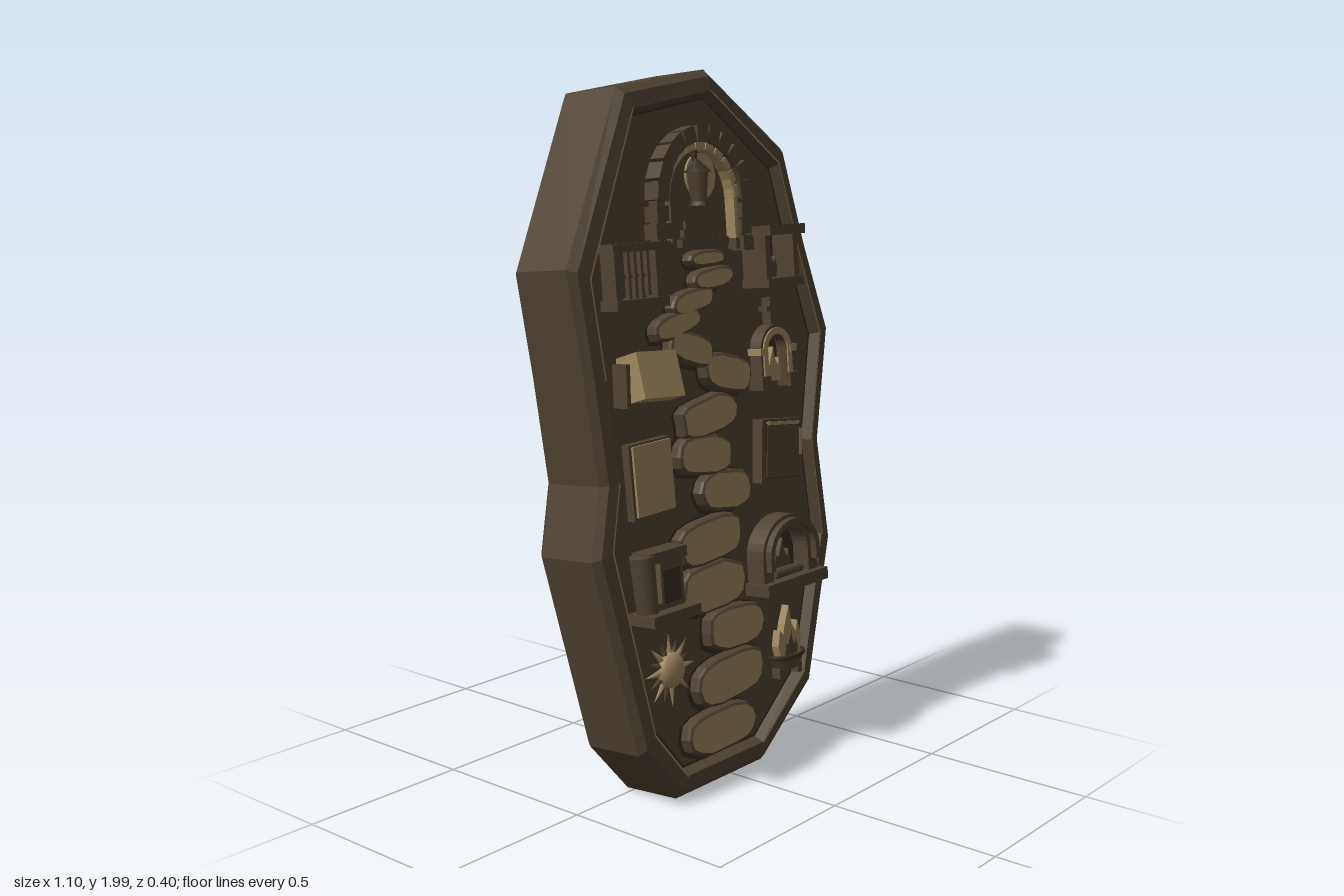
import * as THREE from 'three';

const mat = (name, color) => {
  const m = new THREE.MeshStandardMaterial({ color, side: THREE.DoubleSide });
  m.name = name;
  return m;
};

// Slab outline, counter-clockwise, y measured from the middle
const OUTLINE = [
  [0.04, 0.995], [-0.32, 0.94], [-0.55, 0.48], [-0.515, 0.2], [-0.487, -0.085], [-0.535, -0.275],
  [-0.407, -0.83], [-0.27, -0.99], [0.11, -0.99], [0.355, -0.82], [0.497, -0.4],
  [0.465, -0.09], [0.545, 0.245], [0.45, 0.51], [0.37, 0.78],
];
const FLOOR = 0.07, RIM = 0.1, BACK = -0.12;

const inset = (d) => OUTLINE.map(([x, y]) => [x * (1 - d / 0.53), y * (1 - d)]);
const toShape = (pts) => new THREE.Shape(pts.map(([x, y]) => new THREE.Vector2(x, y)));

// Flat-faced strips joining successive rings {d: inset, z}
function bands(rings, keep = () => true) {
  const pos = [], n = OUTLINE.length;
  for (let k = 0; k + 1 < rings.length; k++) {
    const [a, b] = [rings[k], rings[k + 1]].map(r => inset(r.d).map(p => [...p, r.z]));
    for (let i = 0; i < n; i++) {
      if (!keep(i)) continue;
      const j = (i + 1) % n;
      pos.push(...a[i], ...a[j], ...b[j], ...a[i], ...b[j], ...b[i]);
    }
  }
  const g = new THREE.BufferGeometry();
  g.setAttribute('position', new THREE.Float32BufferAttribute(pos, 3));
  g.computeVertexNormals();
  return g;
}

export function createModel() {
  const brown = mat('brown stone', 0x4f4231);
  const dark = mat('dark crevice', 0x352b1f);
  const tan = mat('worn tan', 0x9c855c);

  let seed = 7;
  const rnd = () => (seed = (seed * 16807) % 2147483647) / 2147483647;

  const model = new THREE.Group();
  model.name = 'carvedPathTablet';
  const slab = new THREE.Group();
  slab.name = 'leaningSlab';
  slab.position.y = 1;
  slab.rotation.x = -0.082;
  model.add(slab);

  // y is given as height above the ground
  const add = (name, geo, m, x, y, z, rz = 0, parent = slab) => {
    const mesh = new THREE.Mesh(geo, m);
    mesh.name = name;
    mesh.position.set(x, parent === slab ? y - 1 : y, z);
    mesh.rotation.z = rz;
    parent.add(mesh);
    return mesh;
  };
  // Box standing on the floor of the panel, reaching forward to zTop
  const block = (name, m, x, y, w, h, zTop, rz = 0) =>
    add(name, new THREE.BoxGeometry(w, h, zTop - FLOOR + 0.01), m, x, y, (zTop + FLOOR - 0.01) / 2, rz);
  const extrude = (pts, depth) =>
    new THREE.ExtrudeGeometry(toShape(pts), { depth, bevelEnabled: false });
  // Arch with straight legs; base is its bottom, spring where the curve begins
  const arch = (name, m, x, base, spring, rIn, rOut, zTop, flat = 1) => {
    const s = new THREE.Shape(), leg = base - spring;
    s.moveTo(rOut, leg);
    for (let i = 0; i <= 16; i++) s.lineTo(rOut * Math.cos(i * Math.PI / 16), rOut * flat * Math.sin(i * Math.PI / 16));
    s.lineTo(-rOut, leg);
    s.lineTo(-rIn, leg);
    for (let i = 16; i >= 0; i--) s.lineTo(rIn * Math.cos(i * Math.PI / 16), rIn * flat * Math.sin(i * Math.PI / 16));
    s.lineTo(rIn, leg);
    const g = new THREE.ExtrudeGeometry(s, { depth: zTop - FLOOR + 0.01, bevelEnabled: false });
    return add(name, g, m, x, spring, FLOOR - 0.01);
  };

  // Hollow slab: side wall, raised rim and sunken panel
  add('slabWall', bands([{ d: 0.012, z: BACK }, { d: 0, z: BACK + 0.015 }, { d: 0, z: 0.075 },
    { d: 0.02, z: RIM - 0.005 }, { d: 0.06, z: RIM }, { d: 0.075, z: FLOOR }]), brown, 0, 1, 0);
  add('sunkenPanel', new THREE.ShapeGeometry(toShape(inset(0.075))), brown, 0, 1, FLOOR);
  add('rimCrevice', bands([{ d: 0.075, z: FLOOR + 0.002 }, { d: 0.082, z: FLOOR + 0.002 }]), dark, 0, 1, 0);
  add('rimWear', bands([{ d: 0.056, z: RIM + 0.001 }, { d: 0.061, z: RIM + 0.001 }],
    i => ![0, 3, 7, 9].includes(i)), tan, 0, 1, 0);
  add('backEdgeWear', bands([{ d: 0.016, z: BACK - 0.002 }, { d: 0.004, z: BACK + 0.008 }],
    i => i >= 9 && i <= 13), tan, 0, 1, 0);

  // Back wall with a torn opening
  const back = toShape(inset(0.012)), tear = [];
  for (let i = 0; i <= 18; i++) tear.push([-0.27 + (i % 2 ? 0.08 : -0.05) * (0.5 + rnd()), 0.42 - i * 0.045]);
  for (let i = 1; i < 6; i++) tear.push([-0.27 + i * 0.09, -0.36 + (i % 2 ? 0.06 : 0)]);
  for (let i = 18; i >= 0; i--) tear.push([0.22 + (i % 2 ? -0.08 : 0.05) * (0.5 + rnd()), 0.45 - i * 0.045]);
  back.holes.push(new THREE.Path(tear.map(([x, y]) => new THREE.Vector2(x, y))));
  add('tornBackWall', new THREE.ShapeGeometry(back).rotateY(Math.PI).scale(-1, 1, 1), brown, 0, 1, BACK);

  // Winding path: x, y, half width, half height, turn
  [[-0.07, 0.16, 0.15, 0.065, -0.03], [-0.02, 0.3, 0.15, 0.07, 0.06], [0.02, 0.435, 0.125, 0.065, -0.05],
    [-0.07, 0.57, 0.14, 0.072, 0], [-0.07, 0.7, 0.14, 0.065, 0.08], [0.01, 0.83, 0.11, 0.06, -0.06],
    [-0.07, 0.94, 0.118, 0.058, -0.08], [-0.04, 1.05, 0.125, 0.055, 0.12], [0.05, 1.155, 0.105, 0.055, -0.25],
    [-0.1, 1.235, 0.095, 0.045, -0.3], [-0.15, 1.312, 0.1, 0.036, 0.2], [-0.08, 1.37, 0.09, 0.034, 0.15],
    [0.01, 1.425, 0.09, 0.032, 0.08], [-0.01, 1.48, 0.075, 0.025, 0.03],
  ].forEach(([x, y, w, h, turn]) => {
    const pts = [];
    for (let i = 0; i < 14; i++) {
      const t = i / 14 * Math.PI * 2, c = Math.cos(t), s = Math.sin(t), r = 0.94 + rnd() * 0.1;
      pts.push([w * r * Math.sign(c) * Math.abs(c) ** 0.7 - 0.012, h * r * Math.sign(s) * Math.abs(s) ** 0.7]);
    }
    const g = new THREE.ExtrudeGeometry(toShape(pts), {
      depth: 0.045, bevelThickness: 0.012, bevelSize: 0.01, bevelOffset: -0.01, bevelSegments: 2 });
    add('pathStone', g, [tan, brown], x, y, 0.05, turn);
    add('pathStoneGap', new THREE.ShapeGeometry(toShape(pts)), dark, x, y - 0.004, FLOOR + 0.003, turn).scale.set(1.08, 1.13, 1);
  });

  // Gateway: brick arch, worn inner lining, moon, lantern and steps
  const gx = -0.03, spring = 1.64;
  arch('gatewayArch', brown, gx, 1.5, spring, 0.14, 0.185, 0.1);
  arch('gatewayLining', tan, gx, 1.53, spring, 0.136, 0.152, 0.103);
  for (let i = 0; i < 11; i++) {
    const a = (i + 0.5) / 11 * Math.PI;
    block('archBrick', brown, gx + 0.178 * Math.cos(a), spring + 0.178 * Math.sin(a), 0.045, 0.047, 0.115 + rnd() * 0.008, a);
    block('archWear', tan, gx + 0.148 * Math.cos(a), spring + 0.148 * Math.sin(a), 0.02, 0.034, 0.106, a);
  }
  for (const s of [-1, 1]) for (let i = 0; i < 3; i++)
    block('gatewayPillarBrick', brown, gx + s * 0.18, 1.515 + i * 0.046, 0.048 + (i % 2) * 0.012, 0.042, 0.115);
  add('moon', new THREE.CylinderGeometry(0.063, 0.063, 0.008, 24).rotateX(Math.PI / 2), tan, 0, 1.705, FLOOR + 0.003);
  add('lanternGlass', new THREE.CylinderGeometry(0.032, 0.022, 0.085, 6), brown, gx, 1.675, 0.09);
  add('lanternRoof', new THREE.ConeGeometry(0.042, 0.04, 6), dark, gx, 1.735, 0.09);
  add('lanternBase', new THREE.CylinderGeometry(0.024, 0.03, 0.012, 6), dark, gx, 1.63, 0.09);
  block('lanternChain', dark, gx, 1.765, 0.008, 0.04, 0.09);
  for (let i = 0; i < 3; i++) block('gatewayStep', brown, gx + 0.02, 1.525 + i * 0.025, 0.2 - i * 0.03, 0.022, 0.09 - i * 0.005);

  // Barred window, upper left
  block('windowRecess', dark, -0.325, 1.45, 0.15, 0.13, 0.078);
  for (const s of [-1, 1]) block('windowPost', brown, -0.325 + s * 0.08, 1.45, 0.025, 0.15, 0.12);
  block('windowSill', brown, -0.325, 1.378, 0.205, 0.026, 0.13);
  block('windowLintel', brown, -0.325, 1.525, 0.2, 0.022, 0.125);
  for (let i = 0; i < 5; i++) block('windowBar', brown, -0.375 + i * 0.025, 1.46, 0.01, 0.15 - Math.abs(i - 2) * 0.012, 0.108);
  block('windowCrossBar', brown, -0.325, 1.45, 0.14, 0.01, 0.1);

  // Rough crate and plain tablet below it
  const crate = block('stoneCrate', tan, -0.31, 1.18, 0.155, 0.125, 0.16, -0.06);
  crate.rotation.x = -0.25;
  block('crateShade', brown, -0.32, 1.165, 0.165, 0.115, 0.12, -0.04);
  block('tabletBack', brown, -0.3, 0.91, 0.165, 0.205, 0.095, 0.03);
  block('tabletFace', tan, -0.298, 0.912, 0.15, 0.19, 0.102, 0.03);

  // Old chest with a turned post
  block('chestBody', brown, -0.3, 0.62, 0.13, 0.15, 0.125);
  block('chestLid', brown, -0.3, 0.705, 0.15, 0.03, 0.135);
  block('chestFoot', brown, -0.31, 0.545, 0.19, 0.03, 0.165);
  add('chestPost', new THREE.CylinderGeometry(0.035, 0.03, 0.16, 12), brown, -0.375, 0.635, 0.11, 0.06);
  block('chestWear', tan, -0.342, 0.64, 0.022, 0.12, 0.13);
  block('chestOpening', dark, -0.285, 0.62, 0.07, 0.09, 0.128);

  // Sun with rays
  add('sunDisc', new THREE.SphereGeometry(0.05, 20, 12).scale(1, 1, 0.5), tan, -0.265, 0.375, 0.085);
  for (let i = 0; i < 16; i++) {
    const a = i / 16 * Math.PI * 2, len = i % 2 ? 0.04 : 0.055;
    add('sunRay', new THREE.ConeGeometry(0.01, len, 4), i % 2 ? brown : tan,
      -0.265 + Math.cos(a) * (0.05 + len / 2), 0.375 + Math.sin(a) * (0.05 + len / 2), 0.082, a - Math.PI / 2);
  }

  // Flame outline shared by the fires
  const flame = (name, x, y, s, z, m = tan) => add(name, extrude([[-0.045, 0], [0.045, 0], [0.06, 0.05], [0.045, 0.11],
    [0.035, 0.075], [0.015, 0.105], [0.005, 0.165], [-0.02, 0.11], [-0.03, 0.08], [-0.045, 0.095], [-0.058, 0.045]]
    .map(p => [p[0] * s, p[1] * s]), 0.025), m, x, y, z);

  // Boxed niche, upper right
  block('nicheBack', dark, 0.247, 1.47, 0.13, 0.14, 0.08);
  for (const s of [-1, 1]) block('nicheWall', brown, 0.247 + s * 0.065, 1.47, 0.022, 0.15, 0.155);
  block('nicheRoof', brown, 0.247, 1.545, 0.165, 0.028, 0.18);
  block('nicheBase', brown, 0.247, 1.397, 0.165, 0.025, 0.165);
  flame('nicheFlame', 0.247, 1.41, 0.55, 0.085, brown);

  // Small shrine with a cross
  arch('shrineArch', brown, 0.255, 1.11, 1.2, 0.045, 0.075, 0.11);
  arch('shrineWear', tan, 0.255, 1.13, 1.2, 0.047, 0.066, 0.115);
  block('shrineBack', dark, 0.255, 1.17, 0.09, 0.12, 0.074);
  for (const s of [-1, 1]) {
    block('shrineFoot', brown, 0.255 + s * 0.066, 1.11, 0.04, 0.04, 0.12);
    block('shrineCapital', tan, 0.255 + s * 0.07, 1.2, 0.03, 0.02, 0.118);
  }
  block('shrineCrossPost', brown, 0.255, 1.31, 0.014, 0.085, 0.1);
  block('shrineCrossArm', brown, 0.255, 1.32, 0.045, 0.014, 0.1);
  flame('shrineFlame', 0.255, 1.11, 0.6, 0.07);

  // Framed plaque
  block('plaque', brown, 0.26, 0.905, 0.19, 0.185, 0.105, -0.1);
  block('plaqueInset', dark, 0.26, 0.905, 0.165, 0.16, 0.108, -0.1);
  block('plaqueFace', brown, 0.26, 0.903, 0.155, 0.15, 0.111, -0.1);
  block('plaqueTopWear', tan, 0.268, 0.985, 0.15, 0.01, 0.112, -0.1);
  block('plaqueSideWear', tan, 0.345, 0.92, 0.01, 0.08, 0.112, -0.1);

  // Hearth with a low arch
  arch('hearthArch', brown, 0.24, 0.53, 0.61, 0.085, 0.13, 0.13, 0.85);
  arch('hearthHood', brown, 0.24, 0.57, 0.61, 0.1, 0.118, 0.15, 0.85);
  block('hearthBack', dark, 0.24, 0.61, 0.17, 0.13, 0.075);
  block('hearthSlab', brown, 0.24, 0.52, 0.29, 0.035, 0.155);
  flame('hearthFlame', 0.24, 0.54, 0.65, 0.075, brown);
  add('hearthLog', new THREE.CylinderGeometry(0.016, 0.016, 0.13, 8).rotateZ(Math.PI / 2), brown, 0.24, 0.55, 0.11);

  // Fire bowl
  flame('bowlFlame', 0.25, 0.285, 0.95, 0.075);
  flame('bowlFlameCore', 0.252, 0.285, 0.5, 0.08, brown);
  add('fireBowl', new THREE.CylinderGeometry(0.068, 0.05, 0.04, 14).scale(1, 1, 0.6), brown, 0.25, 0.275, 0.085);
  add('bowlRim', new THREE.TorusGeometry(0.068, 0.007, 6, 16).rotateX(Math.PI / 2).scale(1, 1, 0.6), dark, 0.25, 0.295, 0.085);
  for (const s of [-1, 1]) block('bowlFoot', brown, 0.25 + s * 0.045, 0.245, 0.018, 0.03, 0.1);

  return model;
}
